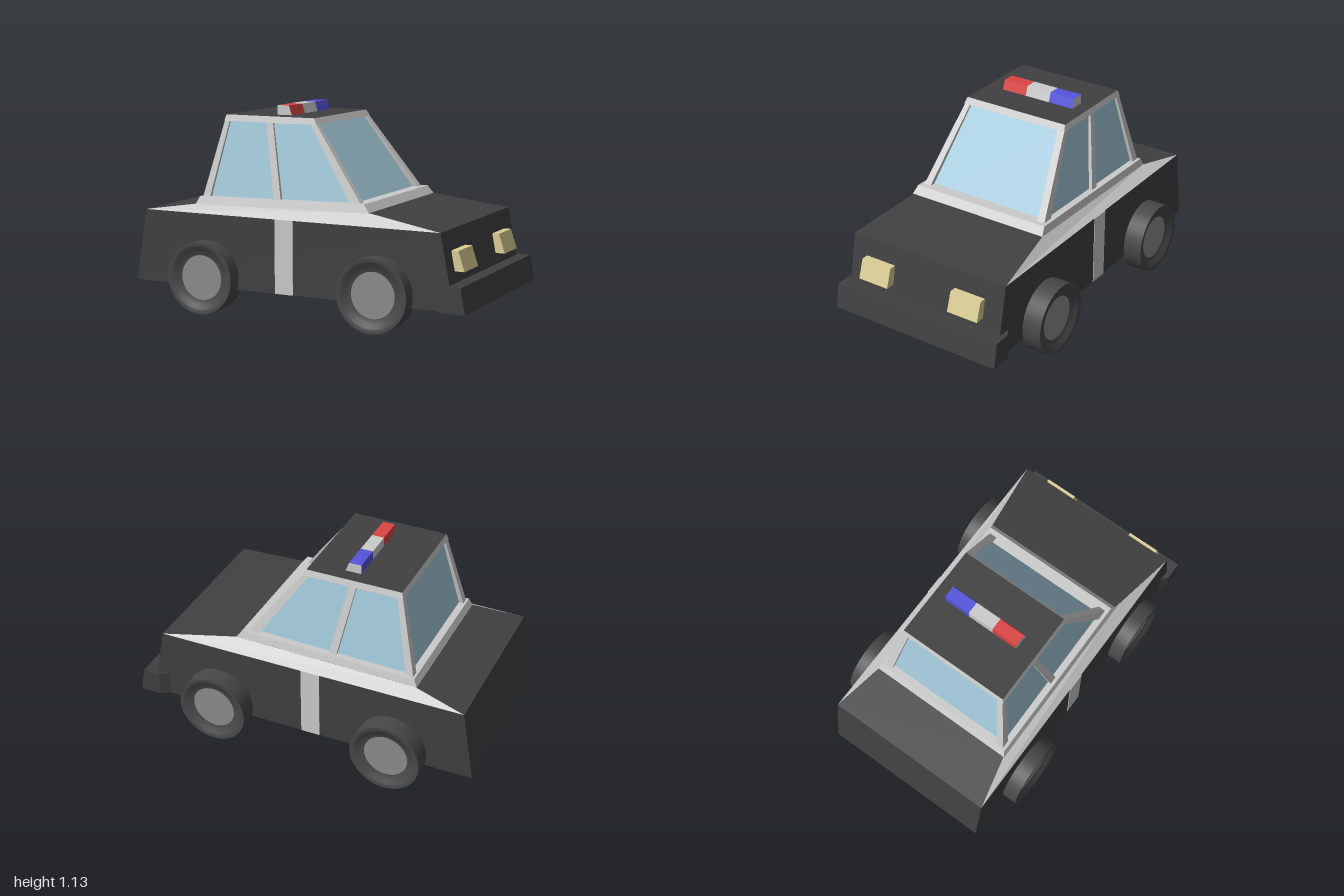
import * as THREE from 'three';

const mat = (color) => new THREE.MeshStandardMaterial({ color, flatShading: true });
const GREY = mat(0xcccccc), DARK = mat(0x404040), GLASS = mat(0xa3c9db), LAMP = mat(0xdbcf96);
const RED = mat(0xdd4444), BLUE = mat(0x5555dd);

// Rectangle seen from above; its height may slope from x0 to x1.
const rect = (x0, x1, z0, z1, y0, y1 = y0) =>
  [[x0, y0, z1], [x1, y1, z1], [x1, y1, z0], [x0, y0, z0]];

// Solid between two rings of corners (counter-clockwise from above).
// Material slots: one per side (+z, +x, -z, -x for a rect), then bottom, then top.
function loft(name, bottom, top, material) {
  const n = bottom.length, pos = [], geo = new THREE.BufferGeometry();
  const tri = (...p) => p.forEach((v) => pos.push(...v));
  const group = (slot, build) => {
    const start = pos.length / 3;
    build();
    geo.addGroup(start, pos.length / 3 - start, slot);
  };
  for (let i = 0; i < n; i++) {
    const j = (i + 1) % n;
    group(i, () => {
      tri(bottom[i], bottom[j], top[j]);
      tri(bottom[i], top[j], top[i]);
    });
  }
  group(n, () => { for (let i = 1; i < n - 1; i++) tri(bottom[0], bottom[i + 1], bottom[i]); });
  group(n + 1, () => { for (let i = 1; i < n - 1; i++) tri(top[0], top[i], top[i + 1]); });
  geo.setAttribute('position', new THREE.Float32BufferAttribute(pos, 3));
  geo.computeVertexNormals();
  const mesh = new THREE.Mesh(geo, material);
  mesh.name = name;
  return mesh;
}

// Tyre with dished sidewalls and a recessed hub on both faces
function wheel(x, z) {
  const g = new THREE.Group();
  g.name = 'wheel';
  const side = [[0.125, 0.035], [0.135, 0.037], [0.15, 0.043], [0.172, 0.055], [0.182, 0.06], [0.2, 0.06]];
  const lathe = (pts) => new THREE.LatheGeometry(pts.map(([r, h]) => new THREE.Vector2(r, h)), 40);
  const rubber = new THREE.MeshStandardMaterial({ color: 0x484848 });
  const tyreMat = rubber.clone();
  tyreMat.side = THREE.DoubleSide;
  const add = (name, geo, m) => {
    const mesh = new THREE.Mesh(geo, m);
    mesh.name = name;
    mesh.rotation.x = Math.PI / 2;
    g.add(mesh);
  };
  add('tyreOuterWall', lathe(side), tyreMat);
  add('tyreInnerWall', lathe(side.map(([r, h]) => [r, -h])), tyreMat);
  add('tyreTread', new THREE.CylinderGeometry(0.2, 0.2, 0.12, 40, 1, true), rubber);
  add('hub', new THREE.CylinderGeometry(0.126, 0.126, 0.07, 40), mat(0x8c8c8c));
  g.position.set(x, 0.2, z);
  return g;
}

export function createModel() {
  const car = new THREE.Group();
  car.name = 'car';

  // Lower body with its underside panels and the band around its middle
  car.add(loft('lowerBody', rect(-1, 0.93, -0.48, 0.505, 0.14), rect(-0.935, 0.85, -0.48, 0.505, 0.545),
    [DARK, DARK, DARK, DARK, GREY, DARK]));
  for (const [x0, x1] of [[-0.9, -0.11], [0, 0.85]])
    car.add(loft('undersidePanel', rect(x0, x1, -0.46, 0.4, 0.137), rect(x0, x1, -0.46, 0.4, 0.15), DARK));
  for (const [z0, z1] of [[0.48, 0.508], [-0.483, -0.46]])
    car.add(loft('sideBand', rect(-0.11, 0, z0, z1, 0.14), rect(-0.11, 0, z0, z1, 0.545), GREY));

  // Sloping deck: dark bonnet and boot, grey shoulders
  car.add(loft('deck', rect(-0.935, 0.85, -0.48, 0.505, 0.545),
    rect(-0.64, 0.42, -0.415, 0.44, 0.587, 0.607), [GREY, DARK, GREY, DARK, DARK, DARK]));

  // Front bumper with wrap-around ends
  const bumper = (y, front) => [[0.81, y, 0.49], [0.88, y, 0.535], [front, y, 0.535],
    [front, y, -0.51], [0.88, y, -0.51], [0.81, y, -0.47]];
  car.add(loft('bumper', bumper(0.139, 1), bumper(0.277, 0.975), DARK));

  // Headlights
  for (const [z0, z1] of [[0.22, 0.41], [-0.365, -0.175]])
    car.add(loft('headlight', rect(0.87, 0.945, z0, z1, 0.335), rect(0.86, 0.91, z0, z1, 0.442), LAMP));

  // Cabin: sill, glass and roof
  const cabin = new THREE.Group();
  cabin.name = 'cabin';
  cabin.add(loft('sill', rect(-0.645, 0.42, -0.415, 0.445, 0.585, 0.605),
    rect(-0.625, 0.385, -0.405, 0.432, 0.628, 0.65), GREY));
  cabin.add(loft('glass', rect(-0.59, 0.345, -0.37, 0.4, 0.61), rect(-0.497, 0.04, -0.297, 0.327, 1.05), GLASS));
  cabin.add(loft('roof', rect(-0.515, 0.06, -0.315, 0.345, 1.045),
    rect(-0.505, 0.04, -0.306, 0.336, 1.08), [GREY, GREY, GREY, GREY, GREY, DARK]));

  // Pillars: lower x range, upper x range; repeated on both sides
  const pillars = {
    rearPillar: [-0.615, -0.57, -0.512, -0.482],
    middlePillar: [-0.165, -0.12, -0.25, -0.21],
    frontPillar: [0.31, 0.375, 0.02, 0.055],
  };
  for (const [name, [a, b, c, d]] of Object.entries(pillars))
    for (const [z0, z1, z2, z3] of [[0.375, 0.417, 0.305, 0.34], [-0.39, -0.345, -0.312, -0.272]])
      cabin.add(loft(name, rect(a, b, z0, z1, 0.62), rect(c, d, z2, z3, 1.05), GREY));
  car.add(cabin);

  // Roof light bar: blue, grey and red sections with grey ends
  const sections = [['blueLight', -0.23, -0.076, BLUE], ['barCentre', -0.076, 0.077, GREY], ['redLight', 0.077, 0.23, RED]];
  for (const [name, z0, z1, m] of sections)
    car.add(loft(name, rect(-0.242, -0.152, z0, z1, 1.078), rect(-0.242, -0.172, z0, z1, 1.133),
      [z1 > 0.2 ? GREY : m, m, z0 < -0.2 ? GREY : m, m, m, m]));

  // Wheels
  for (const x of [-0.537, 0.5]) for (const z of [-0.53, 0.53]) car.add(wheel(x, z));

  return car;
}
